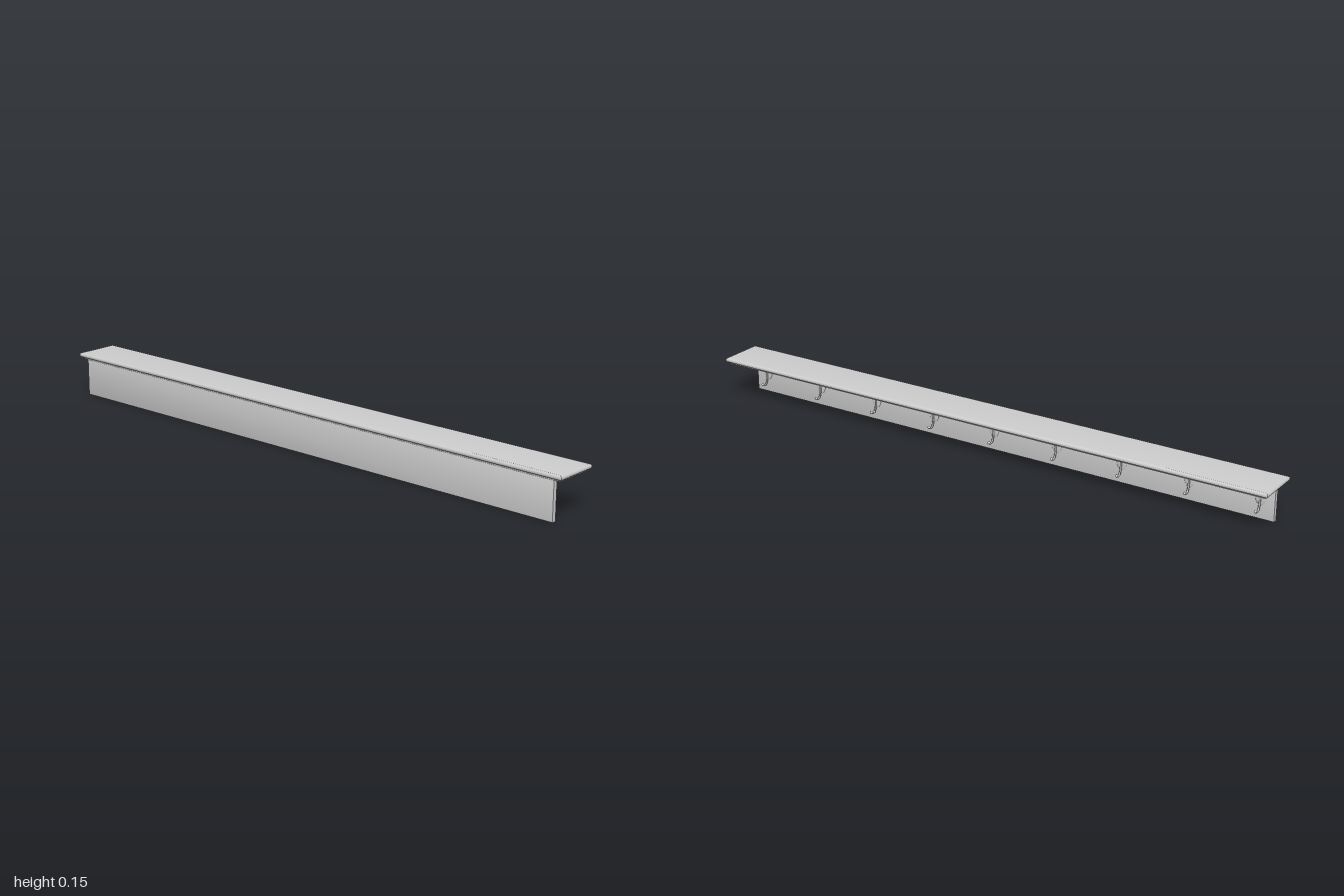
import * as THREE from 'three';
import { toCreasedNormals } from 'three/addons/utils/BufferGeometryUtils.js';

const material = new THREE.MeshStandardMaterial({ color: 0xcccccc });

function addMesh(parent, name, geometry, x = 0, y = 0, z = 0) {
  const mesh = new THREE.Mesh(geometry, material);
  mesh.name = name;
  mesh.position.set(x, y, z);
  parent.add(mesh);
  return mesh;
}

// Centred plank, w by h in the xy plane and t thick along z, with rounded rims
function plank(w, h, t, r, segments) {
  const a = w / 2 - r, b = h / 2 - r;
  const shape = new THREE.Shape([
    new THREE.Vector2(-a, -b), new THREE.Vector2(a, -b),
    new THREE.Vector2(a, b), new THREE.Vector2(-a, b),
  ]);
  const geometry = new THREE.ExtrudeGeometry(shape, {
    depth: t - 2 * r, bevelThickness: r, bevelSize: r, bevelSegments: segments,
  });
  geometry.translate(0, 0, r - t / 2);
  return toCreasedNormals(geometry, 0.6);
}

function createHook() {
  const hook = new THREE.Group();
  hook.name = 'hook';

  // Oval domed plate against the board
  const dome = [[0.0001, 0.0045], [0.4, 0.004], [0.75, 0.0026], [0.93, 0.0012], [1, 0]]
    .reverse().map(([r, y]) => new THREE.Vector2(r, y));
  const plate = new THREE.LatheGeometry(dome, 32);
  plate.scale(0.031, 1, 0.018);
  plate.rotateZ(-Math.PI / 2);
  addMesh(hook, 'hookPlate', plate, -0.05, 0.074, 0);

  // Curved arm with a short upper horn and a deep lower hook
  const points = [
    [-0.027, 0.104], [-0.034, 0.1], [-0.0405, 0.089], [-0.0445, 0.072], [-0.0445, 0.053],
    [-0.041, 0.038], [-0.036, 0.0305], [-0.03, 0.0285], [-0.02, 0.0345],
  ].map(([x, y]) => new THREE.Vector3(x, y, 0));
  const curve = new THREE.CatmullRomCurve3(points);
  addMesh(hook, 'hookArm', new THREE.TubeGeometry(curve, 40, 0.003, 10));

  // Ball tips
  for (const p of [points[0], points[points.length - 1]]) {
    addMesh(hook, 'hookTip', new THREE.SphereGeometry(0.0048, 16, 12), p.x, p.y, 0);
  }
  return hook;
}

export function createModel() {
  const model = new THREE.Group();
  model.name = 'coatRackShelf';

  // Bullnosed shelf top with a thin moulding below it
  const top = plank(0.152, 2, 0.016, 0.0079, 8);
  top.rotateX(-Math.PI / 2);
  addMesh(model, 'shelfTop', top, 0, 0.138, 0);
  addMesh(model, 'shelfMoulding', new THREE.BoxGeometry(0.131, 0.006, 1.978), 0, 0.128, 0);

  // Upright board that carries the hooks
  const board = plank(1.94, 0.125, 0.016, 0.002, 2);
  board.rotateY(Math.PI / 2);
  addMesh(model, 'backBoard', board, -0.058, 0.0625, 0);

  // Row of nine hooks
  for (let i = -4; i <= 4; i++) {
    const hook = createHook();
    hook.position.z = i * 0.231;
    model.add(hook);
  }
  return model;
}
